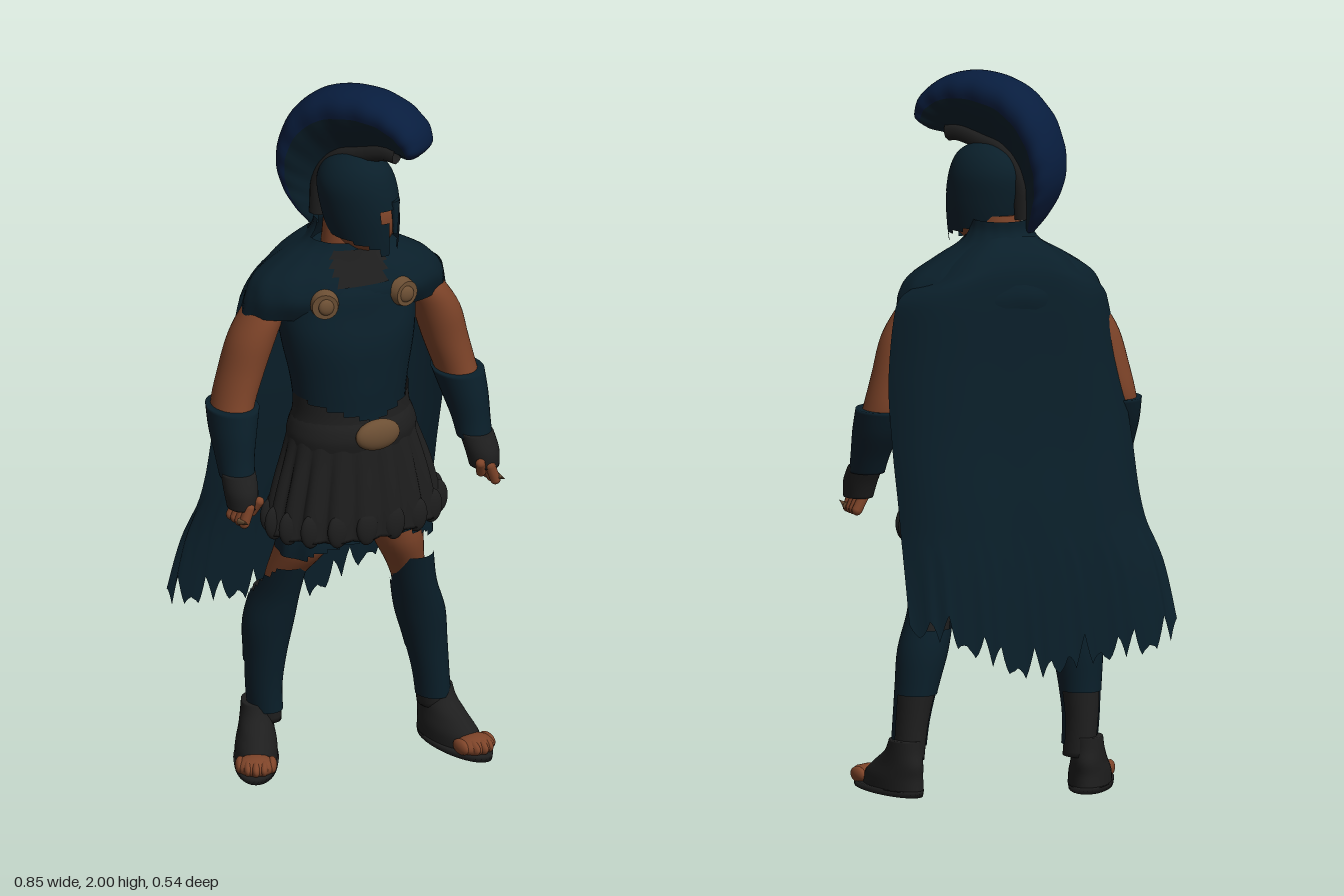
import * as THREE from 'three';
import { mergeVertices } from 'three/addons/utils/BufferGeometryUtils.js';

const mat = (name, color) => new THREE.MeshStandardMaterial({ name, color, side: THREE.DoubleSide });

// Grid surface from fn(u, v) -> [x, y, z]; cells for which skip(u, v) is true are left open
function sheet(nu, nv, fn, skip) {
  const pos = [], idx = [], w = nu + 1;
  for (let j = 0; j <= nv; j++) for (let i = 0; i <= nu; i++) pos.push(...fn(i / nu, j / nv));
  for (let j = 0; j < nv; j++) for (let i = 0; i < nu; i++) {
    if (skip && skip((i + 0.5) / nu, (j + 0.5) / nv)) continue;
    const a = j * w + i;
    idx.push(a, a + 1, a + w + 1, a, a + w + 1, a + w);
  }
  let g = new THREE.BufferGeometry();
  g.setAttribute('position', new THREE.Float32BufferAttribute(pos, 3));
  g.setIndex(idx);
  g = mergeVertices(g, 1e-5);
  g.computeVertexNormals();
  return g;
}

// Smooth interpolation through rows of numbers, t in 0..1
function rowAt(rows, t) {
  const n = rows.length - 1, f = Math.min(t * n, n - 1e-6), i = Math.floor(f), k = f - i;
  const [p, q, r, s] = [-1, 0, 1, 2].map(d => rows[Math.min(n, Math.max(0, i + d))]);
  return q.map((_, c) => 0.5 * (2 * q[c] + (r[c] - p[c]) * k + (2 * p[c] - 5 * q[c] + 4 * r[c] - s[c]) * k * k
    + (3 * q[c] - p[c] - 3 * r[c] + s[c]) * k * k * k));
}

// Elliptical loft through rings [y, x, z, rx, rz], listed bottom to top; angle 0 faces the front
function loft(rings, { n = 32, sub = 5, caps = true, mod, skip } = {}) {
  const steps = (rings.length - 1) * sub, extra = caps ? 1 : 0, nv = steps + 2 * extra;
  const ang = u => (u >= 1 ? 0 : u) * Math.PI * 2;
  const ringAt = v => rowAt(rings, Math.min(1, Math.max(0, (v * nv - extra) / steps)));
  return sheet(n, nv, (u, v) => {
    const a = ang(u), [y, x, z, rx, rz] = ringAt(v);
    const end = caps && (v === 0 || v === 1) ? 0 : 1, m = (mod ? mod(a, y) : 1) * end;
    return [x + rx * m * Math.sin(a), y, z + rz * m * Math.cos(a)];
  }, skip && ((u, v) => skip(u > 0.5 ? (u - 1) * Math.PI * 2 : u * Math.PI * 2, ringAt(v)[0])));
}

export function createModel() {
  const root = new THREE.Group();
  const teal = mat('dark teal', 0x0a1f2a), skin = mat('tanned skin', 0x7e4429), black = mat('black leather', 0x1e1e1e);
  const gold = mat('old bronze', 0x6c4f34), navy = mat('navy plume', 0x081d3e);
  const add = (parent, name, geo, m, p) => {
    const o = new THREE.Mesh(geo, m);
    o.name = name;
    if (p) o.position.set(...p);
    parent.add(o);
    return o;
  };
  const blob = (parent, name, m, p, r) => add(parent, name, new THREE.SphereGeometry(1, 24, 16), m, p).scale.set(...r);
  const group = (name, parent = root) => { const g = new THREE.Group(); g.name = name; parent.add(g); return g; };

  // Torso, with chest muscles pushed out of the cuirass
  const upper = group('upperBody');
  upper.rotation.y = -0.1;
  add(upper, 'cuirass', loft([[0.95, 0, 0.04, 0.17, 0.13], [1.05, 0, 0.04, 0.158, 0.125], [1.15, 0, 0.04, 0.168, 0.13],
    [1.25, 0, 0.03, 0.188, 0.14], [1.35, 0, 0.01, 0.2, 0.14], [1.42, 0, 0, 0.2, 0.135], [1.48, 0, -0.01, 0.15, 0.1],
    [1.53, 0, -0.01, 0.08, 0.07]], {
    n: 48, mod: (a, y) => 1 + 0.06 * Math.exp(-(((y - 1.31) / 0.06) ** 2)) * Math.max(0, Math.cos(a)) * Math.abs(Math.sin(a * 2))
      - 0.03 * Math.exp(-(((y - 1.2) / 0.05) ** 2)) * Math.exp(-((Math.sin(a / 2) / 0.08) ** 2)),
  }), teal);
  const mantle = [[1.345, 0.01, -0.03, 0.298, 0.138], [1.4, 0.01, -0.02, 0.287, 0.155], [1.45, 0.008, -0.02, 0.256, 0.14],
    [1.5, 0.006, -0.02, 0.178, 0.115], [1.535, 0.006, -0.018, 0.115, 0.098], [1.57, 0.005, -0.015, 0.088, 0.082],
    [1.6, 0.005, -0.015, 0.08, 0.082]];
  add(upper, 'shoulderMantle', loft(mantle, { n: 64, caps: false, mod: (a, y) => 1 + 0.008 * Math.sin(a * 14 + y * 40),
    skip: (a, y) => (y < 1.4 && Math.abs(a) < 0.5) || (y > 1.55 && Math.abs(a) < 1.5) }), teal);
  add(upper, 'collar', loft(mantle.slice(2, 6).map(r => [r[0] - 0.01, r[1], r[2], r[3] + 0.008, r[4] + 0.008]), {
    n: 64, caps: false, skip: (a, y) => y > 1.53 || Math.abs(a) > 0.25 + (y - 1.44) * 4 }), black);
  for (const s of [-1, 1]) {
    const x = 0.01 + s * 0.118;
    const b = add(upper, 'brooch', new THREE.CylinderGeometry(0.036, 0.042, 0.03, 20), gold, [x, 1.4, 0.125]);
    b.rotation.set(Math.PI / 2, 0, -s * 0.3);
    blob(upper, 'broochBoss', gold, [x, 1.4, 0.139], [0.024, 0.024, 0.012]);
  }
  add(root, 'neck', new THREE.CylinderGeometry(0.06, 0.072, 0.14, 20), skin, [0.005, 1.54, 0]);

  // Pleated leather skirt, sash, buckle and cloth hem
  add(root, 'skirt', loft([[0.71, 0.01, 0.042, 0.25, 0.16], [0.78, 0.008, 0.042, 0.242, 0.16], [0.9, 0.005, 0.045, 0.212, 0.148],
    [1, 0, 0.045, 0.183, 0.142], [1.06, 0, 0.042, 0.168, 0.135], [1.12, 0, 0.04, 0.167, 0.132]], {
    n: 144, mod: (a, y) => 1 + 0.6 * Math.max(0, Math.min(0.15, 1.02 - y)) * (Math.abs(Math.sin(a * 9)) - 0.5),
    skip: (a, y) => y > 1.05 + 0.06 * Math.abs(Math.sin(a)) }), black);
  for (let i = 0; i < 18; i++) {
    const a = (i + 0.5) / 18 * Math.PI * 2;
    blob(root, 'skirtStripEnd', black, [0.01 + 0.246 * Math.sin(a), 0.745, 0.042 + 0.157 * Math.cos(a)], [0.032, 0.05, 0.016]);
  }
  add(root, 'sash', loft([[0.97, 0, 0.045, 0.187, 0.145], [1, 0, 0.045, 0.187, 0.15], [1.03, 0, 0.045, 0.178, 0.145],
    [1.05, 0, 0.045, 0.168, 0.135]], { caps: false }), black);
  blob(root, 'buckle', gold, [0, 1.02, 0.198], [0.068, 0.045, 0.026]);
  add(root, 'tunicHem', loft([[0.65, 0.008, 0.045, 0.23, 0.15], [0.7, 0.008, 0.045, 0.224, 0.148],
    [0.78, 0.005, 0.045, 0.2, 0.13]], { n: 72, caps: false, mod: a => 1 + 0.02 * Math.sin(a * 12),
    skip: (a, y) => y < 0.72 - Math.abs(a) * 0.055 && Math.abs(a) < 1 }), teal);

  // Arms with bracers, gloves and curled fingers
  for (const s of [1, -1]) {
    const arm = group(s > 0 ? 'leftArm' : 'rightArm');
    arm.position.set(0.012, 0, s > 0 ? 0.012 : -0.05);
    const rings = list => list.map(([y, x, ...r]) => [y, s * x, ...r]);
    add(arm, 'armSkin', loft(rings([[0.9, 0.355, 0.07, 0.04, 0.045], [1, 0.35, 0.03, 0.052, 0.065], [1.08, 0.333, 0, 0.057, 0.072],
      [1.18, 0.302, -0.005, 0.063, 0.072], [1.28, 0.27, 0, 0.066, 0.073], [1.36, 0.23, 0, 0.056, 0.068],
      [1.42, 0.205, -0.01, 0.035, 0.045]])), skin);
    add(arm, 'bracer', loft(rings([[0.9, 0.354, 0.068, 0.048, 0.055], [0.95, 0.352, 0.05, 0.052, 0.064],
      [1.02, 0.345, 0.025, 0.062, 0.082], [1.085, 0.335, 0.005, 0.07, 0.09]])), teal);
    add(arm, 'glove', loft(rings([[0.825, 0.362, 0.11, 0.04, 0.047], [0.87, 0.36, 0.1, 0.046, 0.055],
      [0.915, 0.355, 0.075, 0.047, 0.055]])), black);
    for (let i = 0; i < 4; i++) {
      const f = add(arm, 'finger', new THREE.CapsuleGeometry(0.015, 0.045, 4, 10), skin, [s * 0.368, 0.812, 0.08 + i * 0.023]);
      f.rotation.z = s * (0.5 - i * 0.05);
    }
    add(arm, 'thumb', new THREE.CapsuleGeometry(0.014, 0.04, 4, 10), skin, [s * 0.335, 0.83, 0.14]).rotation.set(0.5, 0, s * 0.3);
    add(arm, 'handTip', new THREE.ConeGeometry(0.01, 0.05, 8), gold, [s * 0.385, 0.8, 0.165]).rotation.x = 1.4;
  }

  // Legs: thigh, boot shaft, wrapped greave and open-toed foot
  const legs = [
    { name: 'leftLeg', foot: [0.274, 0, 0.026], yaw: 0.13,
      thigh: [[0.48, 0.18, 0.06, 0.045, 0.05], [0.56, 0.155, 0.07, 0.052, 0.06], [0.66, 0.125, 0.075, 0.07, 0.088], [0.8, 0.11, 0.06, 0.085, 0.1]],
      shin: [[0.1, 0.264, 0.03, 0.042, 0.055], [0.2, 0.252, 0.035, 0.045, 0.055], [0.3, 0.235, 0.038, 0.054, 0.06],
        [0.4, 0.213, 0.046, 0.064, 0.068], [0.5, 0.183, 0.065, 0.056, 0.068], [0.6, 0.165, 0.085, 0.054, 0.066]] },
    { name: 'rightLeg', foot: [-0.213, 0, -0.11], yaw: -0.5,
      thigh: [[0.48, -0.18, -0.055, 0.045, 0.05], [0.56, -0.165, -0.03, 0.052, 0.06], [0.66, -0.135, 0.015, 0.07, 0.09], [0.8, -0.11, 0.03, 0.085, 0.1]],
      shin: [[0.1, -0.19, -0.1, 0.042, 0.055], [0.2, -0.2, -0.095, 0.045, 0.055], [0.3, -0.2, -0.085, 0.053, 0.06],
        [0.4, -0.195, -0.075, 0.064, 0.07], [0.5, -0.182, -0.055, 0.058, 0.075], [0.6, -0.175, -0.015, 0.056, 0.07]] },
  ];
  for (const { name, foot, yaw, thigh, shin } of legs) {
    const leg = group(name);
    add(leg, 'thigh', loft(thigh), skin);
    add(leg, 'bootShaft', loft(shin.slice(0, 5)), black);
    add(leg, 'greave', loft(shin.map(r => [r[0], r[1], r[2], r[3] + 0.006, r[4] + 0.006]), { n: 40, caps: false,
      skip: (a, y) => (y < 0.28 && Math.abs(a) > 1.7) || (y > 0.45 && Math.abs(a) > 2.4 - (y - 0.45) * 10) || y < 0.13 }), teal);
    const f = group('foot', leg);
    f.position.set(...foot);
    f.rotation.y = yaw;
    add(f, 'sole', loft([[0, 0, 0.09, 0.06, 0.155], [0.018, 0, 0.09, 0.063, 0.158]], { sub: 1 }), black);
    add(f, 'boot', loft([[0.015, 0, 0.065, 0.06, 0.13], [0.05, 0, 0.06, 0.058, 0.122], [0.085, 0, 0.034, 0.05, 0.1],
      [0.12, 0, 0.01, 0.045, 0.067], [0.155, 0, 0, 0.042, 0.054]]), black);
    blob(f, 'forefoot', skin, [0, 0.033, 0.185], [0.056, 0.028, 0.05]);
    for (let i = 0; i < 5; i++) {
      const x = (i - 2) * 0.022;
      blob(f, 'toe', skin, [x, 0.034, 0.21 - x * x * 15], [0.014, 0.022, 0.034]);
    }
  }

  // Cape rows: [y, left x, right x, middle z, edge z]; the hem is torn into uneven teeth
  const cape = [[1.56, -0.08, 0.09, -0.1, -0.05], [1.5, -0.2, 0.22, -0.148, -0.05], [1.42, -0.27, 0.318, -0.168, -0.06],
    [1.2, -0.31, 0.36, -0.178, -0.08], [1, -0.335, 0.362, -0.193, -0.108], [0.8, -0.355, 0.352, -0.22, -0.135],
    [0.6, -0.405, 0.35, -0.243, -0.165], [0.37, -0.43, 0.35, -0.258, -0.2]];
  const hem = [[0.08], [0.05], [0.04], [0.02], [0], [0.04], [0.1], [0.13]];
  add(root, 'cape', sheet(96, 50, (u, v) => {
    const [y, x0, x1, zm, ze] = rowAt(cape, 1 - v), c = u * 2 - 1, x = x0 + (x1 - x0) * u;
    const k = Math.max(0, (0.75 - y) / 0.38), tooth = Math.abs(((u * 16) % 1) - 0.5) * 2;
    const lift = rowAt(hem, u)[0] + tooth * (0.055 + 0.035 * Math.sin(u * 37)) - 0.02;
    const shoulder = 0.05 * Math.abs(c) ** 2 * Math.max(0, 1 - Math.abs(y - 1.48) / 0.1);
    const fold = 0.002 * Math.sin(u * 24) * (1 - v) * (1 - c * c);
    return [x, y + k * lift - shoulder, zm + (ze - zm) * Math.abs(c) ** 5 + 0.06 * x + fold];
  }), teal);

  // Helmeted head, turned to the left
  const head = group('head');
  head.position.set(0.015, 0, 0.03);
  head.rotation.y = 0.56;
  blob(head, 'face', skin, [0, 1.63, 0.025], [0.076, 0.115, 0.106]);
  add(head, 'helmet', loft([[1.525, 0, 0.045, 0.066, 0.086], [1.58, 0, 0.03, 0.079, 0.106], [1.65, 0, 0.02, 0.09, 0.117],
    [1.72, 0, 0.01, 0.092, 0.115], [1.77, 0, 0.01, 0.072, 0.092], [1.8, 0, 0.01, 0.035, 0.045], [1.805, 0, 0.01, 0, 0]], {
    n: 72, sub: 6, caps: false, skip: (a, y) => {
      const b = Math.abs(a);
      return y < 1.525 + 0.04 * Math.min(1, b / 1.5) - (b < 0.7 ? 0.03 : 0)
        || (y > 1.628 && y < 1.658 && b < 0.62) || (y < 1.635 && b < 0.34);
    } }), teal);
  add(head, 'noseGuard', new THREE.CylinderGeometry(0.018, 0.009, 0.1, 8), teal, [0, 1.635, 0.132]).scale.z = 0.6;

  // Crest stations: [outer z, outer y, inner z, inner y, half width], front to nape
  const crest = [[0.205, 1.83, 0.15, 1.815, 0.03], [0.232, 1.865, 0.14, 1.822, 0.072], [0.212, 1.925, 0.11, 1.825, 0.086],
    [0.135, 1.98, 0.08, 1.82, 0.09], [0.03, 2, 0.03, 1.805, 0.09], [-0.09, 1.975, -0.035, 1.785, 0.09],
    [-0.18, 1.9, -0.08, 1.745, 0.09], [-0.222, 1.8, -0.105, 1.69, 0.084], [-0.222, 1.71, -0.108, 1.64, 0.07],
    [-0.185, 1.63, -0.11, 1.6, 0.05], [-0.138, 1.565, -0.11, 1.565, 0.015]];
  const plume = (b0, b1) => sheet(24, 60, (u, v) => {
    const [zo, yo, zi, yi, w] = rowAt(crest, v), b = b0 + (b1 - b0) * u, c = (1 + Math.cos(b)) / 2;
    const ruffle = 1 + 0.025 * Math.sin(v * 75);
    return [w * ruffle * Math.sin(b) * (0.55 + 0.45 * Math.cos(b)) * 1.22, yi + (yo - yi) * c, zi + (zo - zi) * c];
  });
  add(head, 'plumeTop', plume(-1.3, 1.3), navy);
  add(head, 'plumeBase', plume(1.3, Math.PI * 2 - 1.3), teal);
  const rail = crest.slice(1, 10).map(([, , z, y]) => new THREE.Vector3(0, y, z));
  add(head, 'crestRail', new THREE.TubeGeometry(new THREE.CatmullRomCurve3(rail), 40, 0.028, 10), black);
  return root;
}
